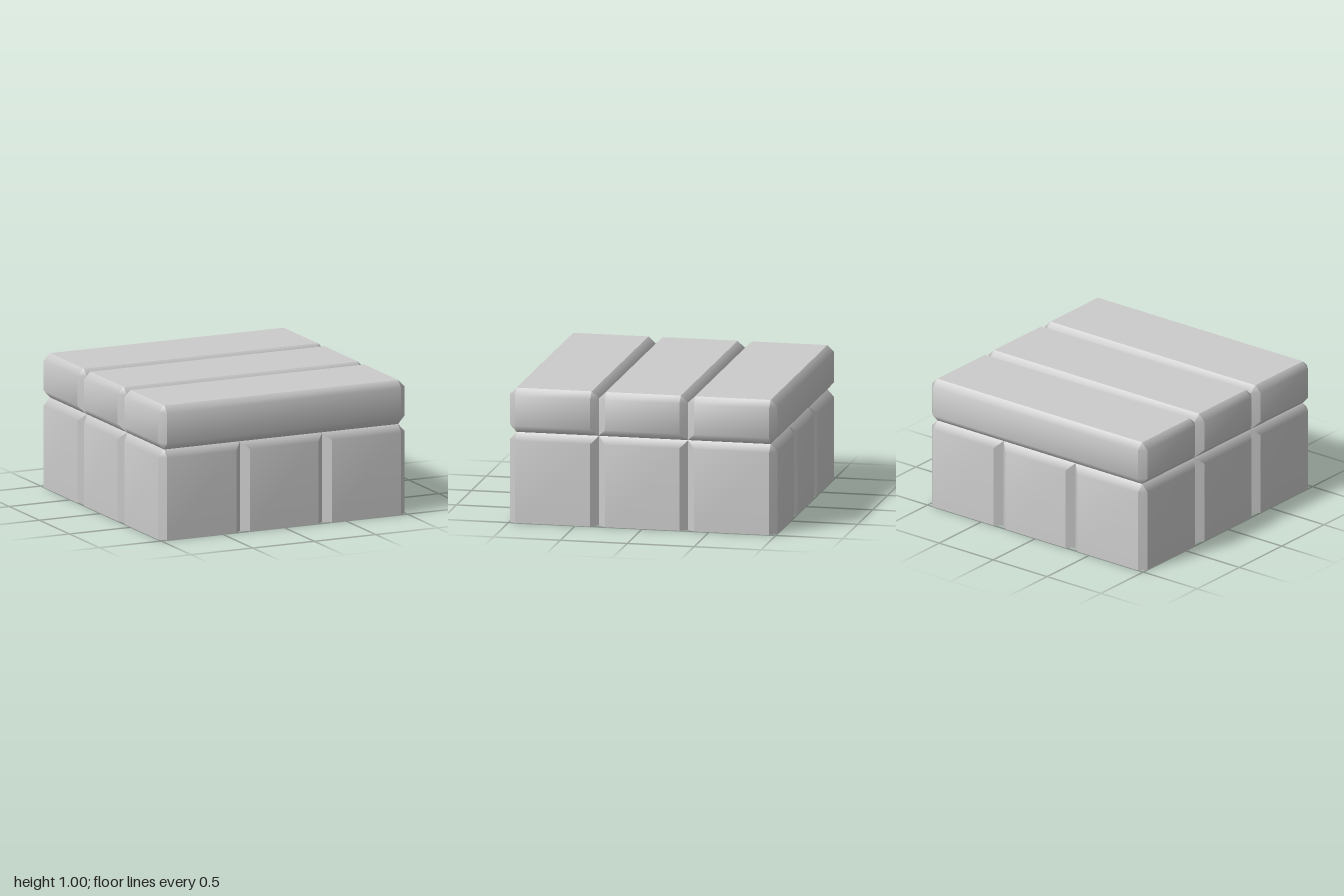
import * as THREE from 'three';

const material = new THREE.MeshStandardMaterial({ color: 0xcccccc });

// Skin a stack of matching outlines ({ y, points: [x, z] }) and cap both ends.
// Each wall is its own strip: smooth from bottom to top, sharp at its sides.
function loft(name, levels, centreZ) {
  const positions = [];
  const index = [];
  const add = (x, y, z) => positions.push(x, y, z) / 3 - 1;
  const count = levels[0].points.length;

  for (let i = 0; i < count; i++) {
    const j = (i + 1) % count;
    let previous = null;
    for (const { y, points } of levels) {
      const a = add(points[i][0], y, points[i][1]);
      const b = add(points[j][0], y, points[j][1]);
      if (previous) {
        const [pa, pb] = previous;
        index.push(pa, pb, b, pa, b, a);
      }
      previous = [a, b];
    }
  }

  const cap = ({ y, points }, up) => {
    const centre = add(0, y, centreZ);
    const ring = points.map(([x, z]) => add(x, y, z));
    ring.forEach((a, i) => {
      const b = ring[(i + 1) % count];
      index.push(centre, up ? a : b, up ? b : a);
    });
  };
  cap(levels[0], false);
  cap(levels[levels.length - 1], true);

  const geometry = new THREE.BufferGeometry();
  geometry.setAttribute('position', new THREE.Float32BufferAttribute(positions, 3));
  geometry.setIndex(index);
  geometry.computeVertexNormals();
  const mesh = new THREE.Mesh(geometry, material);
  mesh.name = name;
  return mesh;
}

const SEAM = 1 / 3;    // seams divide the block into thirds
const BEVEL = 0.05;    // depth of bevels and grooves
const GROOVE = 0.055;  // half width of a groove
const JOINT = 0.67;    // height where planks rest on the base

// Repeat one side's points around the four sides of a square.
function aroundSquare(side) {
  const points = [];
  let current = side;
  for (let k = 0; k < 4; k++) {
    points.push(...current);
    current = current.map(([x, z]) => [z, -x]);
  }
  return points;
}

// Square base with two vertical V grooves per side, fading out in the top bevel
function createBase() {
  const inner = 1 - BEVEL;
  const side = [[-inner, 1]];
  const topSide = [[-inner, inner]];
  for (const x of [-SEAM, SEAM]) {
    side.push([x - GROOVE, 1], [x, inner], [x + GROOVE, 1]);
    topSide.push([x, inner], [x, inner], [x, inner]);
  }
  side.push([inner, 1]);
  topSide.push([inner, inner]);
  const outline = aroundSquare(side);
  return loft('base', [
    { y: 0, points: outline },
    { y: JOINT - GROOVE, points: outline },
    { y: JOINT, points: aroundSquare(topSide) },
  ], 0);
}

// Bevelled plank between two z positions
function createPlank(name, back, front) {
  const isOuter = (z) => Math.abs(z) > 0.9;
  const df = isOuter(front) ? BEVEL : GROOVE;
  const db = isOuter(back) ? BEVEL : GROOVE;
  const x = 1 - BEVEL;
  const rectangle = (b, f) => [
    [-x, f], [-x, f], [x, f], [x, f], [x, b], [x, b], [-x, b], [-x, b],
  ];
  const outline = [
    [-1, front - df], [-x, front], [x, front], [1, front - df],
    [1, back + db], [x, back], [-x, back], [-1, back + db],
  ];
  const bottomBack = isOuter(back) ? back + db : back;
  const bottomFront = isOuter(front) ? front - df : front;
  return loft(name, [
    { y: JOINT, points: rectangle(bottomBack, bottomFront) },
    { y: JOINT + GROOVE, points: outline },
    { y: 1 - BEVEL, points: outline },
    { y: 1, points: rectangle(back + db, front - df) },
  ], (back + front) / 2);
}

export function createModel() {
  const group = new THREE.Group();
  group.name = 'grooved block';
  group.add(
    createBase(),
    createPlank('backPlank', -1, -SEAM),
    createPlank('middlePlank', -SEAM, SEAM),
    createPlank('frontPlank', SEAM, 1),
  );
  return group;
}
